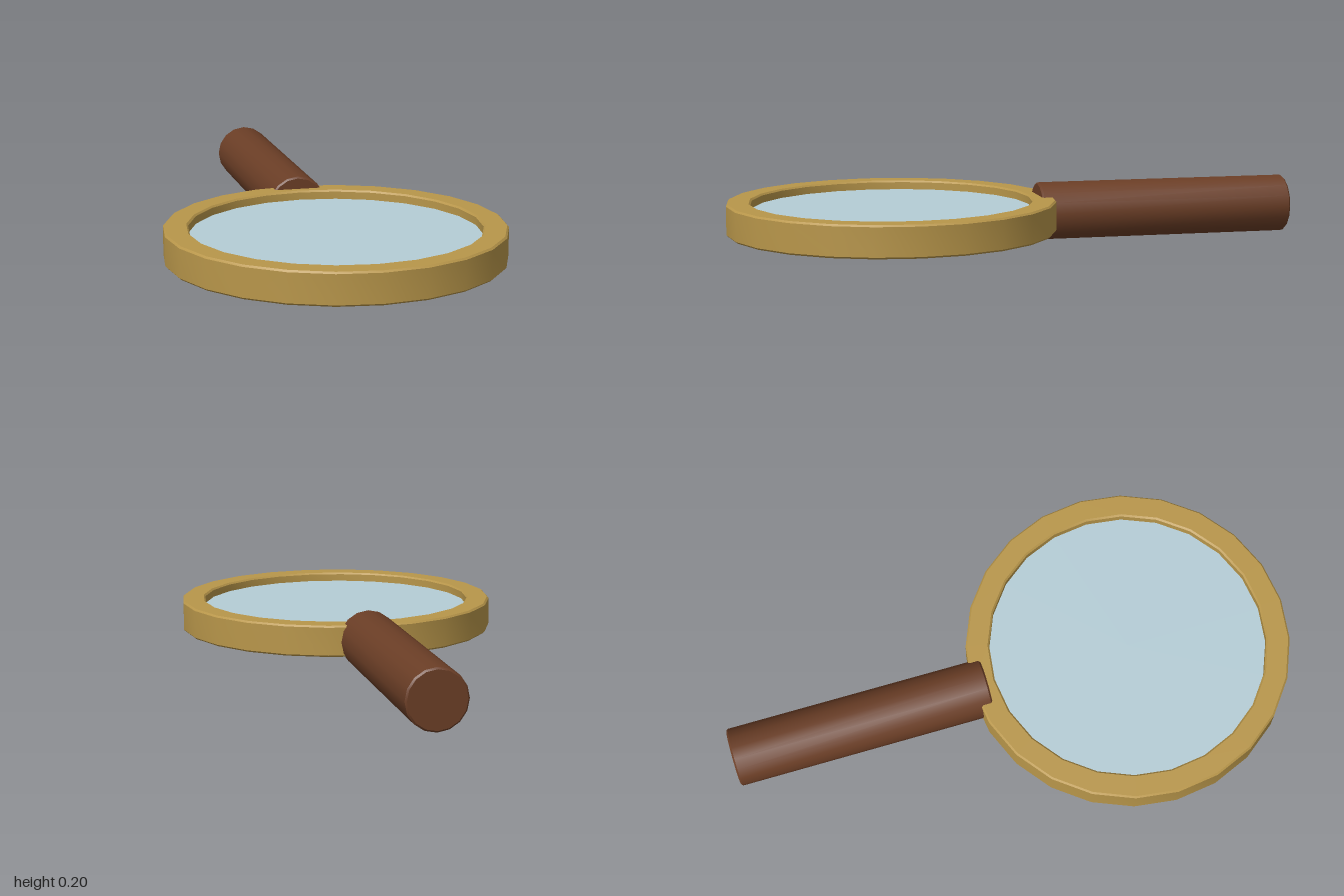
import * as THREE from 'three';
import { toCreasedNormals } from 'three/addons/utils/BufferGeometryUtils.js';

const LENS_Z = 0.43;

// Turned solid around y with bevelled edges kept crisp
function turned(profile, sides) {
  const points = profile.map(([r, y]) => new THREE.Vector2(r, y));
  return toCreasedNormals(new THREE.LatheGeometry(points, sides), 0.6);
}

export function createModel() {
  const brass = new THREE.MeshStandardMaterial({ name: 'brass', color: 0xb8964a });
  const glass = new THREE.MeshStandardMaterial({ name: 'glass', color: 0xb5cdd6 });
  const wood = new THREE.MeshStandardMaterial({ name: 'wood', color: 0x6b3e26 });

  const group = new THREE.Group();
  const add = (name, geometry, material, y, z) => {
    const mesh = new THREE.Mesh(geometry, material);
    mesh.name = name;
    mesh.position.set(0, y, z);
    group.add(mesh);
    return mesh;
  };

  // Shallow brass tray: closed underside, raised rim, recessed floor
  add('frame', turned([
    [0, 0.05], [0.564, 0.05], [0.57, 0.056], [0.57, 0.154], [0.564, 0.16],
    [0.493, 0.16], [0.487, 0.154], [0.487, 0.12], [0, 0.12],
  ], 24), brass, 0, LENS_Z);

  // Glass disc lying in the recess
  add('lens', new THREE.CylinderGeometry(0.487, 0.487, 0.008, 24), glass, 0.124, LENS_Z);

  // Round handle running backwards, its front end sunk into the rim
  const handle = turned([
    [0, -1], [0.096, -1], [0.102, -0.994], [0.102, -0.094], [0.096, -0.088], [0, -0.088],
  ], 16);
  handle.rotateX(Math.PI / 2);
  add('handle', handle, wood, 0.102, 0);

  return group;
}
